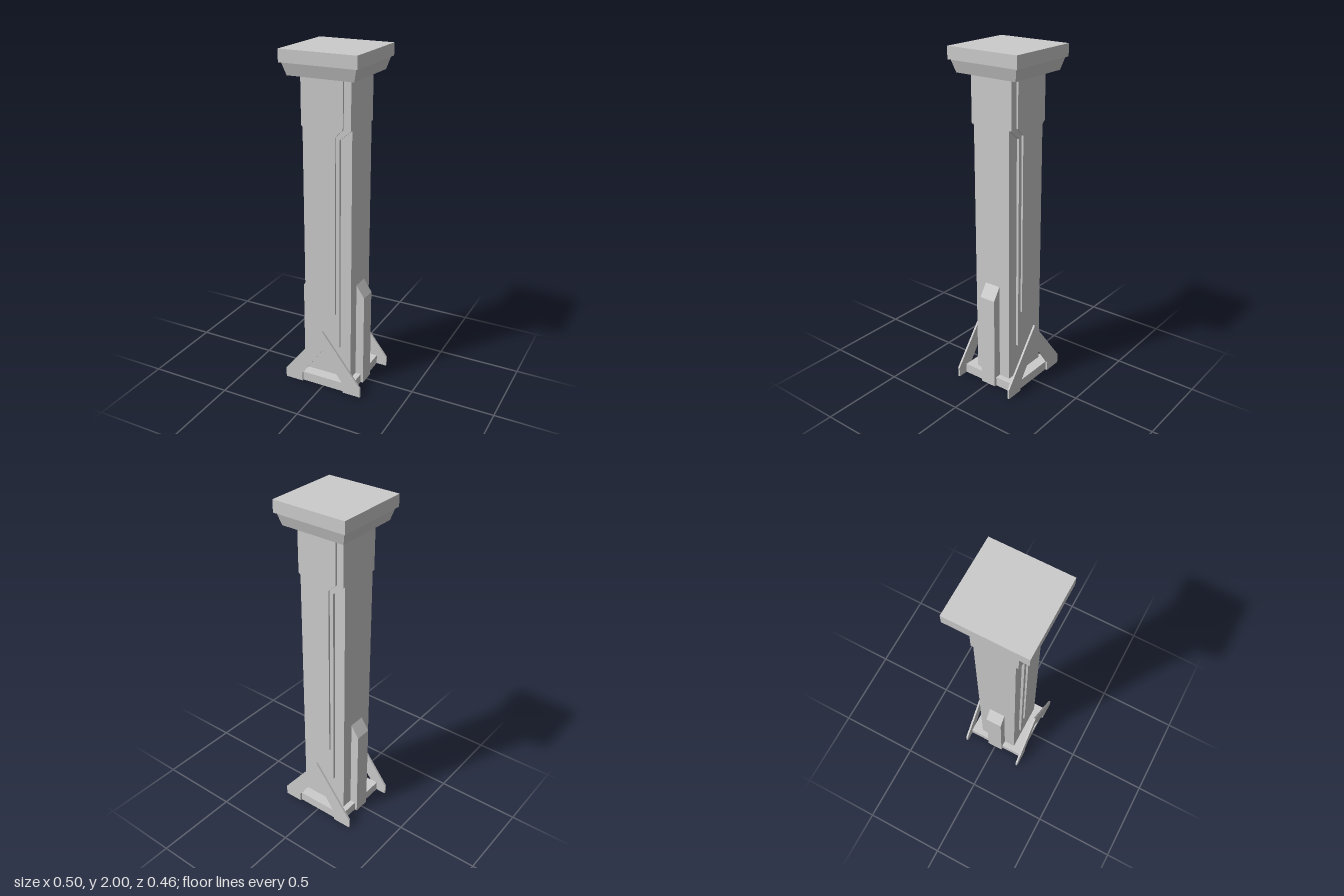
import * as THREE from 'three';

const material = new THREE.MeshStandardMaterial({ color: 0xcccccc, flatShading: true });

function add(parent, name, geometry) {
  const mesh = new THREE.Mesh(geometry, material);
  mesh.name = name;
  parent.add(mesh);
  return mesh;
}

// Box given by full width and depth, and its bottom and top heights
function block(parent, name, width, depth, y0, y1) {
  const mesh = add(parent, name, new THREE.BoxGeometry(width, y1 - y0, depth));
  mesh.position.y = (y0 + y1) / 2;
  return mesh;
}

// Flat outline in x/y, extruded from z0 to z1
function plate(points, z0, z1) {
  const shape = new THREE.Shape(points.map(([x, y]) => new THREE.Vector2(x, y)));
  const geometry = new THREE.ExtrudeGeometry(shape, { depth: z1 - z0, bevelEnabled: false });
  return geometry.translate(0, 0, z0);
}

// Outline mirrored across x = 0, from its right half listed bottom to top
const mirrored = (half) => [...half, ...half.map(([x, y]) => [-x, y]).reverse()];

export function createModel() {
  const model = new THREE.Group();
  model.name = 'column';

  // Shaft and base
  block(model, 'shaft', 0.3, 0.24, 0, 1.87);
  block(model, 'baseSlab', 0.37, 0.37, 0, 0.057);

  // Cap: tapered moulding under a square slab
  const moulding = new THREE.CylinderGeometry(0.216 * Math.SQRT2, 0.196 * Math.SQRT2, 0.07, 4);
  add(model, 'capMoulding', moulding.rotateY(Math.PI / 4)).position.y = 1.895;
  block(model, 'capSlab', 0.455, 0.455, 1.93, 2);

  // Layered panels and an open triangular brace, on front and back
  const outerPanel = mirrored([[0.083, 0.26], [0.083, 1.53], [0.15, 1.585], [0.15, 1.865]]);
  const innerPanel = mirrored([[0.06, 0.48], [0.06, 1.545], [0.107, 1.59], [0.107, 1.865]]);
  const brace = [
    [0.136, 0], [0.249, 0], [0.249, 0.06], [0, 0.38], [-0.249, 0.06],
    [-0.249, 0], [-0.136, 0], [-0.136, 0.057], [0, 0.25], [0.136, 0.057],
  ];
  for (const [side, turn] of [['front', 0], ['back', Math.PI]]) {
    const face = new THREE.Group();
    face.name = side + 'Face';
    face.rotation.y = turn;
    add(face, 'outerPanel', plate(outerPanel, 0.11, 0.135));
    add(face, 'innerPanel', plate(innerPanel, 0.12, 0.146));
    add(face, 'triangularBrace', plate(brace, 0.185, 0.197));
    model.add(face);
  }

  // Side buttresses with sloped tops
  const buttress = [[0.14, 0], [0.2, 0], [0.2, 0.575], [0.15, 0.65], [0.14, 0.65]];
  for (const [side, turn] of [['left', 0], ['right', Math.PI]]) {
    add(model, side + 'Buttress', plate(buttress, -0.05, 0.05)).rotation.y = turn;
  }

  return model;
}
